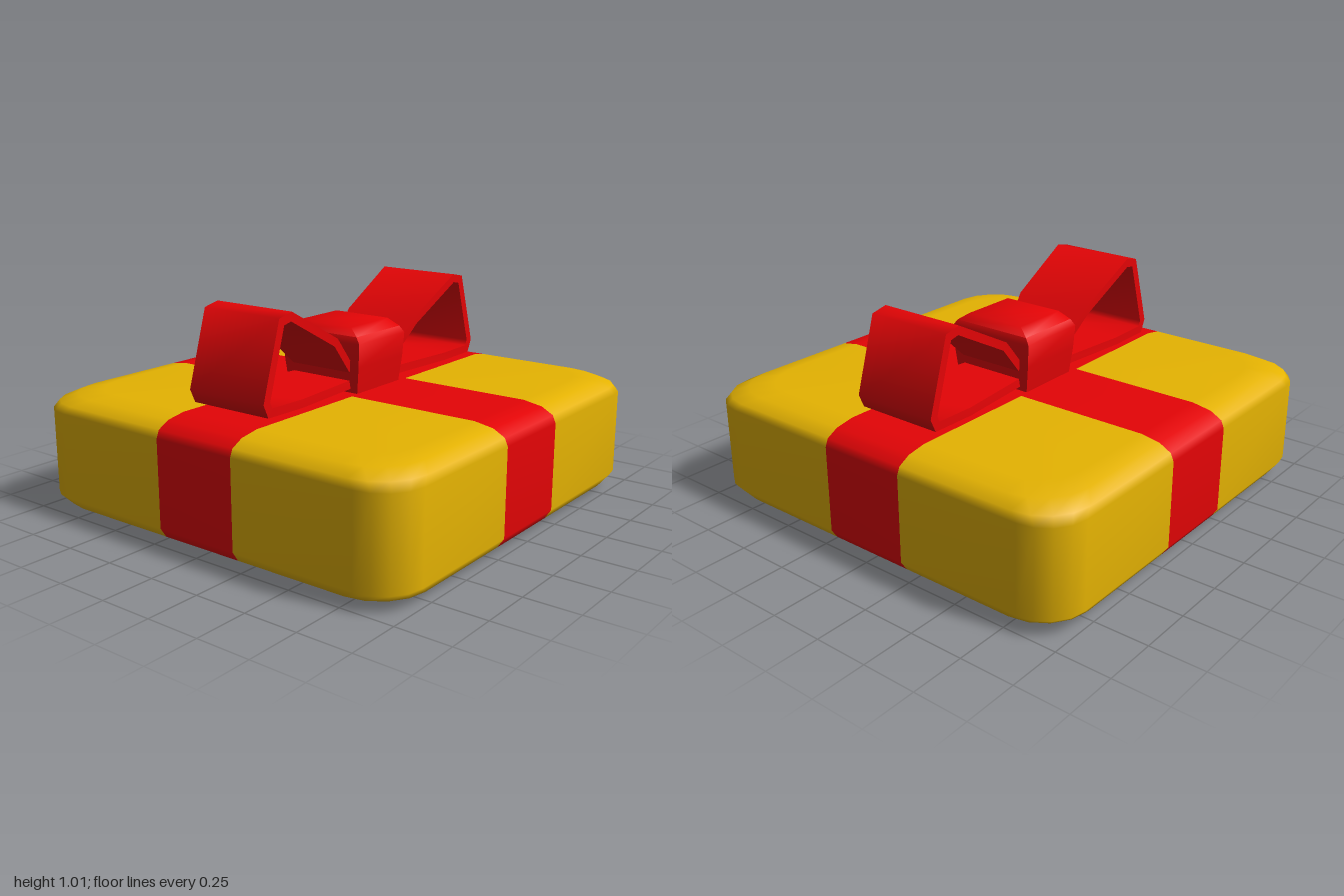
import * as THREE from 'three';
import { toCreasedNormals } from 'three/addons/utils/BufferGeometryUtils.js';

const BAND = 0.208; // half width of the ribbon bands
const PER_SIDE = 7; // ring points per side: two band edges and a five point corner

// Skin closed rings of points; pick(j) gives the material index of column j.
function loft(rings, pick = () => 0) {
  const n = rings[0].length;
  const lists = [[], []];
  for (let i = 0; i < rings.length - 1; i++) {
    for (let j = 0; j < n; j++) {
      const a = i * n + j, b = i * n + (j + 1) % n;
      lists[pick(j)].push(a, b, b + n, a, b + n, a + n);
    }
  }
  const geo = new THREE.BufferGeometry();
  geo.setAttribute('position', new THREE.Float32BufferAttribute(rings.flat(2), 3));
  geo.setIndex([...lists[0], ...lists[1]]);
  geo.addGroup(0, lists[0].length, 0);
  geo.addGroup(lists[0].length, lists[1].length, 1);
  geo.computeVertexNormals();
  return geo;
}

// Rounded square outline with extra points at the band edges.
function squareRing([h, r, y]) {
  const s = Math.min(BAND, h);
  const side = [[h, -s], [h, s]];
  for (let k = 0; k < 5; k++) {
    const t = k * Math.PI / 8;
    side.push([h - r + r * Math.cos(t), h - r + r * Math.sin(t)]);
  }
  const ring = [];
  for (let q = 0; q < 4; q++) {
    const c = Math.round(Math.cos(q * Math.PI / 2)), sn = Math.round(Math.sin(q * Math.PI / 2));
    for (const [u, v] of side) ring.push([u * c - v * sn, y, -(u * sn + v * c)]);
  }
  return ring;
}

// Strip of ribbon following a closed path of [x, y, half width].
function ribbonLoop(path, t) {
  const n = path.length;
  const normal = (p, q) => new THREE.Vector2(q[1] - p[1], p[0] - q[0]).normalize();
  const rings = path.map((p, i) => {
    const n1 = normal(path[(i + n - 1) % n], p), n2 = normal(p, path[(i + 1) % n]);
    const m = n1.clone().add(n2).normalize();
    m.multiplyScalar(t / Math.max(0.6, m.dot(n2)));
    const [x, y, w] = p;
    return [
      [x + m.x, y + m.y, w], [x + m.x, y + m.y, -w],
      [x - m.x, y - m.y, -w], [x - m.x, y - m.y, w],
    ];
  });
  rings.push(rings[0]);
  return toCreasedNormals(loft(rings), 1.25);
}

export function createModel() {
  const yellow = new THREE.MeshStandardMaterial({ color: 0xe5b302 });
  yellow.name = 'yellow wrapping';
  const red = new THREE.MeshStandardMaterial({ color: 0xe40406 });
  red.name = 'red ribbon';
  const dark = new THREE.MeshStandardMaterial({ color: 0x383838 });
  dark.name = 'dark base';

  const model = new THREE.Group();
  model.name = 'giftBox';
  const add = (name, geo, mat) => {
    const mesh = new THREE.Mesh(geo, mat);
    mesh.name = name;
    model.add(mesh);
    return mesh;
  };

  // Wrapped box: from the inner lip, around the outside, to the middle of the top
  const profile = [
    [0.86, 0.14, 0.12], [0.86, 0.15, 0.04], [0.875, 0.18, 0.005], [0.91, 0.21, 0],
    [0.97, 0.22, 0.035], [1, 0.19, 0.08], [1, 0.19, 0.48], [0.985, 0.21, 0.515],
    [0.93, 0.22, 0.545], [0.84, 0.2, 0.56], [BAND, 0, 0.56], [0, 0, 0.56],
  ];
  add('wrappedBox', loft(profile.map(squareRing), j => (j % PER_SIDE === 0 ? 1 : 0)), [yellow, red]);

  // Recessed underside, slightly hollow towards the middle
  const base = [[0, 0, 0.125], [0.6, 0.1, 0.12], [0.86, 0.14, 0.105]];
  add('basePanel', loft(base.map(squareRing)), dark);

  // Bow loops
  const path = [
    [0.1, 0.596, 0.155], [0.55, 0.603, 0.208], [0.757, 0.606, 0.208], [0.777, 0.65, 0.208],
    [0.678, 0.972, 0.208], [0.617, 0.985, 0.208], [0.305, 0.82, 0.195],
    [0.16, 0.672, 0.165], [0.1, 0.63, 0.155],
  ];
  const loopGeo = ribbonLoop(path, 0.019);
  add('bowLoopLeft', loopGeo, red);
  add('bowLoopRight', loopGeo, red).rotation.y = Math.PI;

  // Knot: tapered block with softened top
  const knot = [
    [0.16, 0.2, 0.55], [0.17, 0.215, 0.68], [0.175, 0.222, 0.79],
    [0.165, 0.2, 0.82], [0.14, 0.15, 0.855], [0, 0, 0.857],
  ].map(([x, z, y]) => [[x, y, z], [x, y, -z], [-x, y, -z], [-x, y, z]]);
  add('bowKnot', toCreasedNormals(loft(knot), 1.2), red);

  return model;
}
